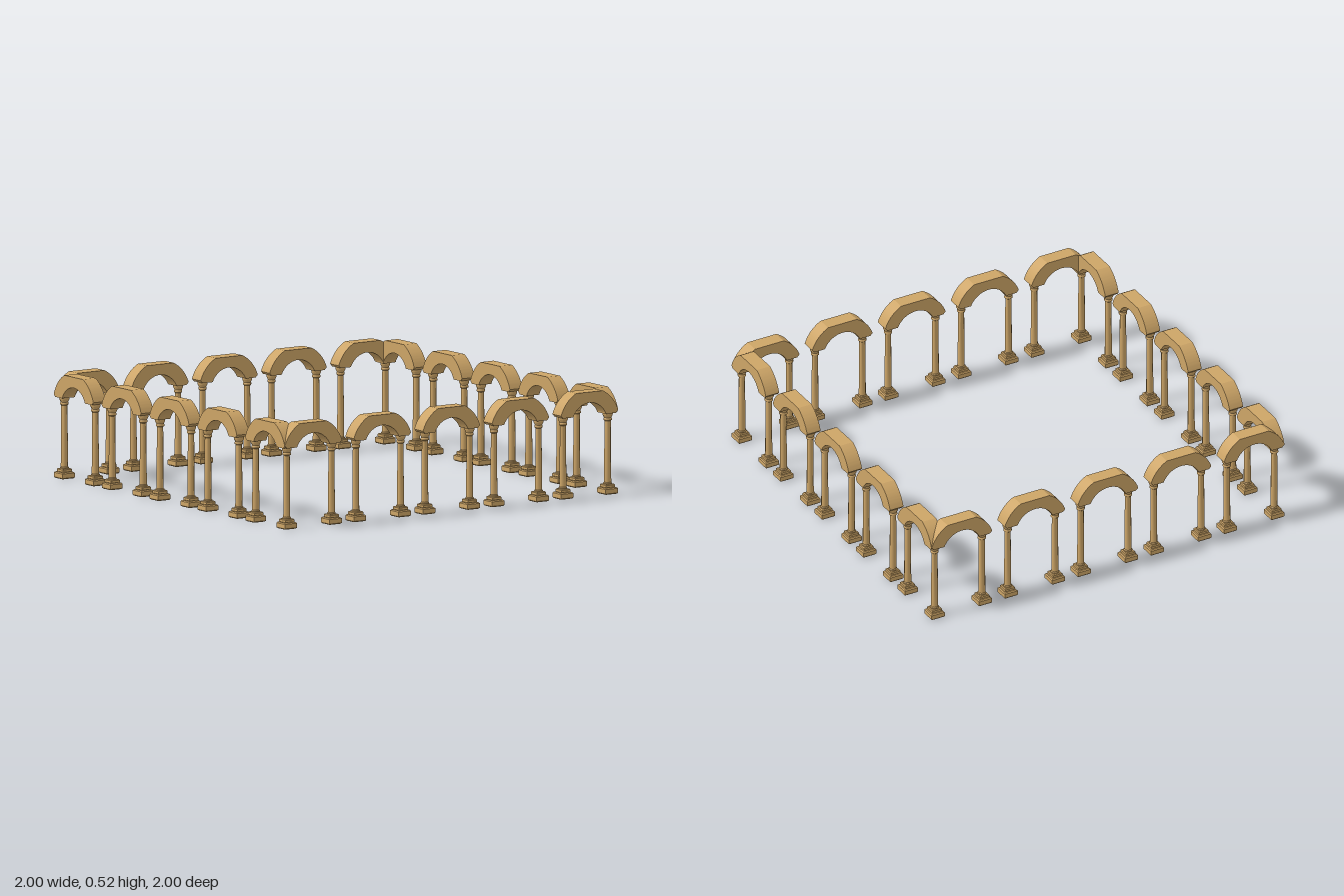
import * as THREE from 'three';
import { toCreasedNormals } from 'three/addons/utils/BufferGeometryUtils.js';

const DEPTH = 0.076, EDGE = 1 - DEPTH / 2, SPACING = 0.414, COLUMN_X = 0.134;
const SPRING_Y = 0.362, OUTER_R = 0.18, INNER_R = 0.108, TOP_Y = 0.523, FOOT_Y = 0.405;

// Arch: two concentric arcs, the outer one cut flat on top
function archGeometry() {
  const shape = new THREE.Shape();
  const flat = Math.asin((TOP_Y - SPRING_Y) / OUTER_R);
  const end = Math.acos(0.171 / OUTER_R);
  const foot = Math.asin((FOOT_Y - SPRING_Y) / INNER_R);
  const innerX = INNER_R * Math.cos(foot);
  shape.moveTo(innerX, FOOT_Y);
  shape.lineTo(0.158, FOOT_Y);
  shape.absarc(0, SPRING_Y, OUTER_R, end, flat, false);
  shape.absarc(0, SPRING_Y, OUTER_R, Math.PI - flat, Math.PI - end, false);
  shape.lineTo(-0.158, FOOT_Y);
  shape.absarc(0, SPRING_Y, INNER_R, Math.PI - foot, foot, true);
  const geo = new THREE.ExtrudeGeometry(shape, { depth: DEPTH, bevelEnabled: false, curveSegments: 10 });
  geo.translate(0, 0, -DEPTH / 2);
  return toCreasedNormals(geo, 0.4);
}

// Square block with chamfered upper and lower edges
function blockGeometry(half, y0, y1, chamfer) {
  const pts = [[0, y0], [half - chamfer, y0], [half, y0 + chamfer], [half, y1 - chamfer], [half - chamfer, y1], [0, y1]]
    .map(([r, y]) => new THREE.Vector2(r * Math.SQRT2, y));
  return toCreasedNormals(new THREE.LatheGeometry(pts, 4, Math.PI / 4), 0.3);
}

// Round column shaft with rings below and a flared capital above
function shaftGeometry() {
  const pts = [[0, 0.046], [0.022, 0.046], [0.022, 0.054], [0.018, 0.058], [0.0155, 0.364],
    [0.021, 0.368], [0.021, 0.376], [0.018, 0.38], [0.025, 0.393], [0.026, 0.409], [0, 0.409]]
    .map(([r, y]) => new THREE.Vector2(r, y));
  return toCreasedNormals(new THREE.LatheGeometry(pts, 10), 0.7);
}

export function createModel() {
  const model = new THREE.Group();
  model.name = 'arcade';
  const stone = new THREE.MeshStandardMaterial({ color: 0xcda567 });
  stone.name = 'sandstone';

  const arch = archGeometry();
  const columnParts = {
    plinth: blockGeometry(0.037, 0, 0.032, 0.005),
    base: blockGeometry(0.027, 0.03, 0.049, 0.004),
    shaft: shaftGeometry(),
  };

  function addPart(parent, name, geometry, x, z) {
    const mesh = new THREE.Mesh(geometry, stone);
    mesh.name = name;
    mesh.position.set(x, 0, z);
    parent.add(mesh);
  }

  // Four rows of five arches around a square; neighbouring rows share a corner column
  for (let s = 0; s < 4; s++) {
    const row = new THREE.Group();
    row.name = 'archRow' + (s + 1);
    row.rotation.y = s * Math.PI / 2;
    for (let i = -2; i <= 2; i++) {
      const x = i * SPACING;
      addPart(row, 'arch', arch, x, EDGE);
      for (const side of [-1, 1]) {
        if (i === 2 && side === 1) continue;
        const columnX = i === -2 && side === -1 ? -EDGE : x + side * COLUMN_X;
        const column = new THREE.Group();
        column.name = 'column';
        column.position.set(columnX, 0, EDGE);
        for (const [name, geometry] of Object.entries(columnParts)) addPart(column, name, geometry, 0, 0);
        row.add(column);
      }
    }
    model.add(row);
  }
  return model;
}
